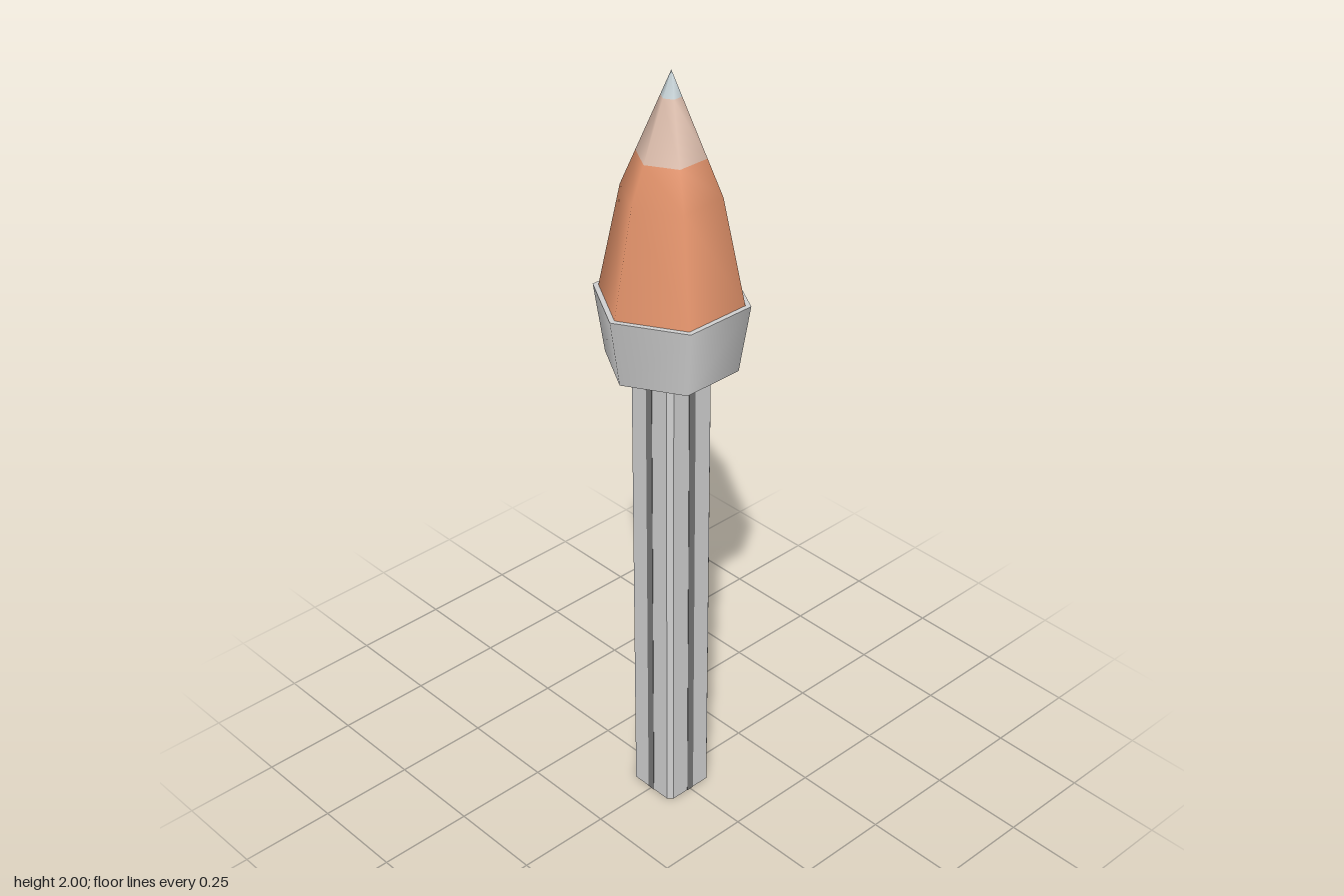
import * as THREE from 'three';

const mat = (name, color) => Object.assign(new THREE.MeshStandardMaterial({ color }), { name });

export function createModel() {
  const group = new THREE.Group();
  const grey = mat('light grey', 0xcfcfcf);
  const dark = mat('dark grey', 0x757575);
  const orange = mat('orange', 0xe3936b);
  const tan = mat('pale tan', 0xdcbdac);
  const ice = mat('pale blue grey', 0xc6d2d6);

  const add = (name, geometry, material) => {
    const mesh = new THREE.Mesh(geometry, material);
    mesh.name = name;
    group.add(mesh);
    return mesh;
  };

  // Square handle with narrow bevelled corners
  const h = 0.0715, c = 0.012, top = 1.3;
  const outline = new THREE.Shape([
    [h, -h + c], [h, h - c], [h - c, h], [-h + c, h],
    [-h, h - c], [-h, -h + c], [-h + c, -h], [h - c, -h],
  ].map(([x, y]) => new THREE.Vector2(x, y)));
  const shaft = new THREE.ExtrudeGeometry(outline, { depth: top, bevelEnabled: false });
  shaft.rotateX(-Math.PI / 2);
  add('handle', shaft, grey);

  // Dark seam down the middle of each handle face
  for (let i = 0; i < 4; i++) {
    const seam = new THREE.BoxGeometry(0.02, 1.27, 0.002);
    seam.translate(0, 0.635, h);
    seam.rotateY(i * Math.PI / 2);
    add('handleSeam', seam, dark);
  }

  // Six-sided cup, corners on the x axis
  const cup = new THREE.CylinderGeometry(0.19, 0.163, 0.175, 6);
  cup.rotateY(Math.PI / 6);
  cup.translate(0, 1.3575, 0);
  add('cup', cup, grey);

  // Six-sided flame in three colour bands
  const band = (name, points, material) => add(name, new THREE.LatheGeometry(
    points.map(([r, y]) => new THREE.Vector2(r, y)), 6, Math.PI / 6), material);
  band('flameBody', [[0.177, 1.44], [0.121, 1.71], [0.0834, 1.8]], orange);
  band('flameUpper', [[0.0834, 1.8], [0.025, 1.94]], tan);
  band('flameTip', [[0.025, 1.94], [0, 2]], ice);

  return group;
}
